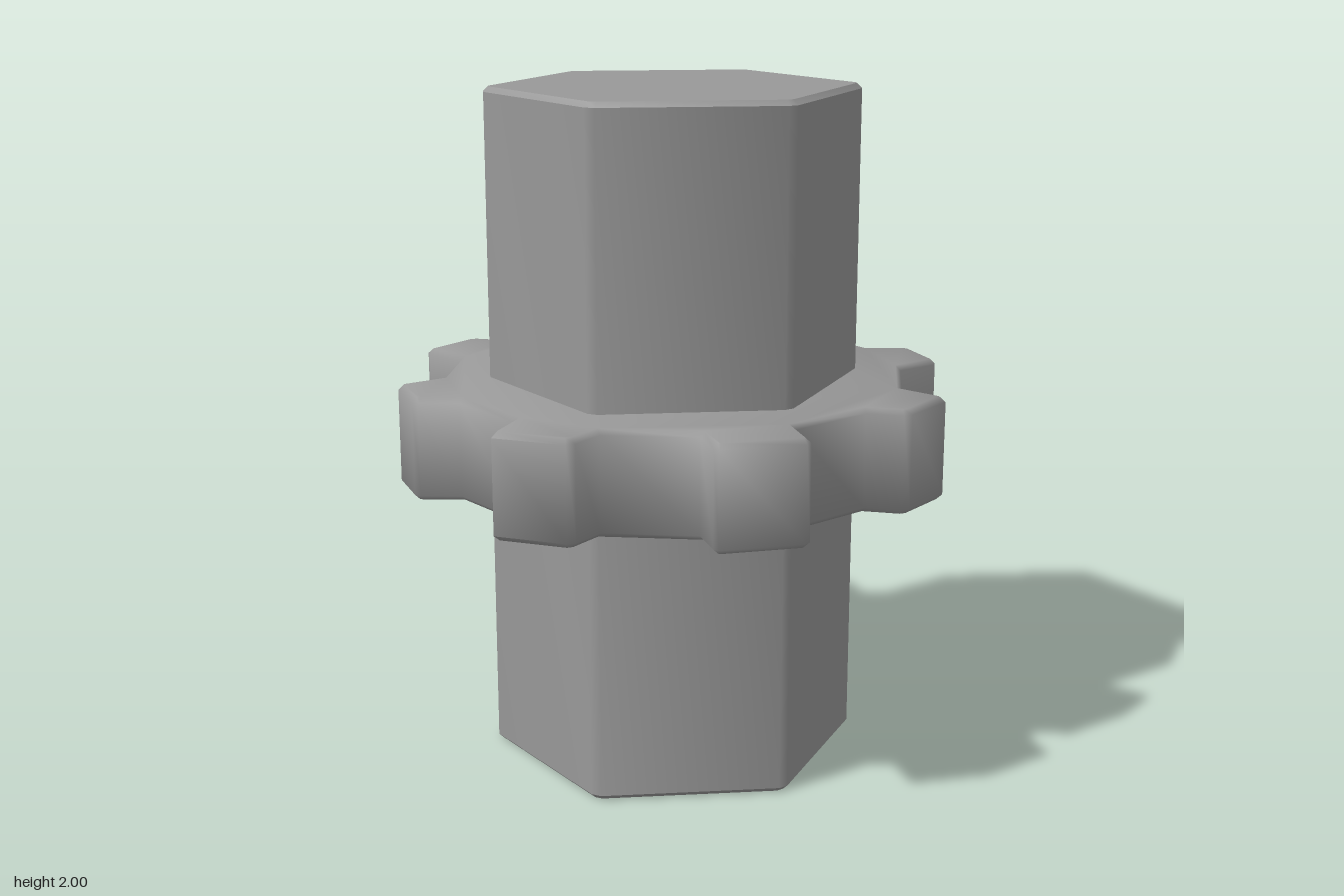
import * as THREE from 'three';
import { toCreasedNormals } from 'three/addons/utils/BufferGeometryUtils.js';

const BEVEL = 0.015;
const material = new THREE.MeshStandardMaterial({ color: 0x999999 });

// Upright prism with bevelled rims, from an outline seen from above (outline y = -z)
function prism(name, points, bottom, top, crease) {
  const shape = new THREE.Shape(points.map(([x, y]) => new THREE.Vector2(x, y)));
  const geometry = new THREE.ExtrudeGeometry(shape, {
    depth: top - bottom - 2 * BEVEL,
    bevelThickness: BEVEL,
    bevelSize: BEVEL,
    bevelOffset: -BEVEL,
    bevelSegments: 1,
  });
  geometry.rotateX(-Math.PI / 2);
  geometry.translate(0, bottom + BEVEL, 0);
  const mesh = new THREE.Mesh(toCreasedNormals(geometry, crease), material);
  mesh.name = name;
  return mesh;
}

// Hexagon with slightly cut corners
function hexagonOutline(radius, cut) {
  const points = [];
  const corner = (i) => [radius * Math.cos((i * Math.PI) / 3), radius * Math.sin((i * Math.PI) / 3)];
  const mix = (a, b, t) => [a[0] + (b[0] - a[0]) * t, a[1] + (b[1] - a[1]) * t];
  for (let i = 0; i < 6; i++) {
    points.push(mix(corner(i), corner(i - 1), cut), mix(corner(i), corner(i + 1), cut));
  }
  return points;
}

// Tips of four neighbouring, slightly uneven teeth; the other four are their half-turn copies
const TIPS = [
  [[0.808, 0.066], [0.812, 0.083], [0.769, 0.236], [0.751, 0.249]],
  [[0.546, 0.607], [0.55, 0.633], [0.358, 0.72], [0.332, 0.712]],
  [[-0.022, 0.799], [-0.036, 0.812], [-0.271, 0.782], [-0.284, 0.769]],
  [[-0.585, 0.52], [-0.611, 0.511], [-0.734, 0.384], [-0.729, 0.362]],
];

// Sixteen-sided ring with a tooth on every other side
function gearOutline(rootRadius) {
  const points = [];
  const root = (k) => [rootRadius * Math.cos((k * Math.PI) / 8), rootRadius * Math.sin((k * Math.PI) / 8)];
  for (let i = 0; i < 8; i++) {
    const sign = i < 4 ? 1 : -1;
    points.push(root(2 * i));
    for (const [x, y] of TIPS[i % 4]) points.push([sign * x, sign * y]);
    points.push(root(2 * i + 1));
  }
  return points;
}

export function createModel() {
  const group = new THREE.Group();
  group.name = 'gearOnHexShaft';
  group.add(prism('hexShaft', hexagonOutline(0.554, 0.032), 0, 2, 0.6));
  // The wide crease angle keeps the tooth roots softly shaded
  group.add(prism('gearCollar', gearOutline(0.687), 0.85, 1.153, 1.35));
  return group;
}
